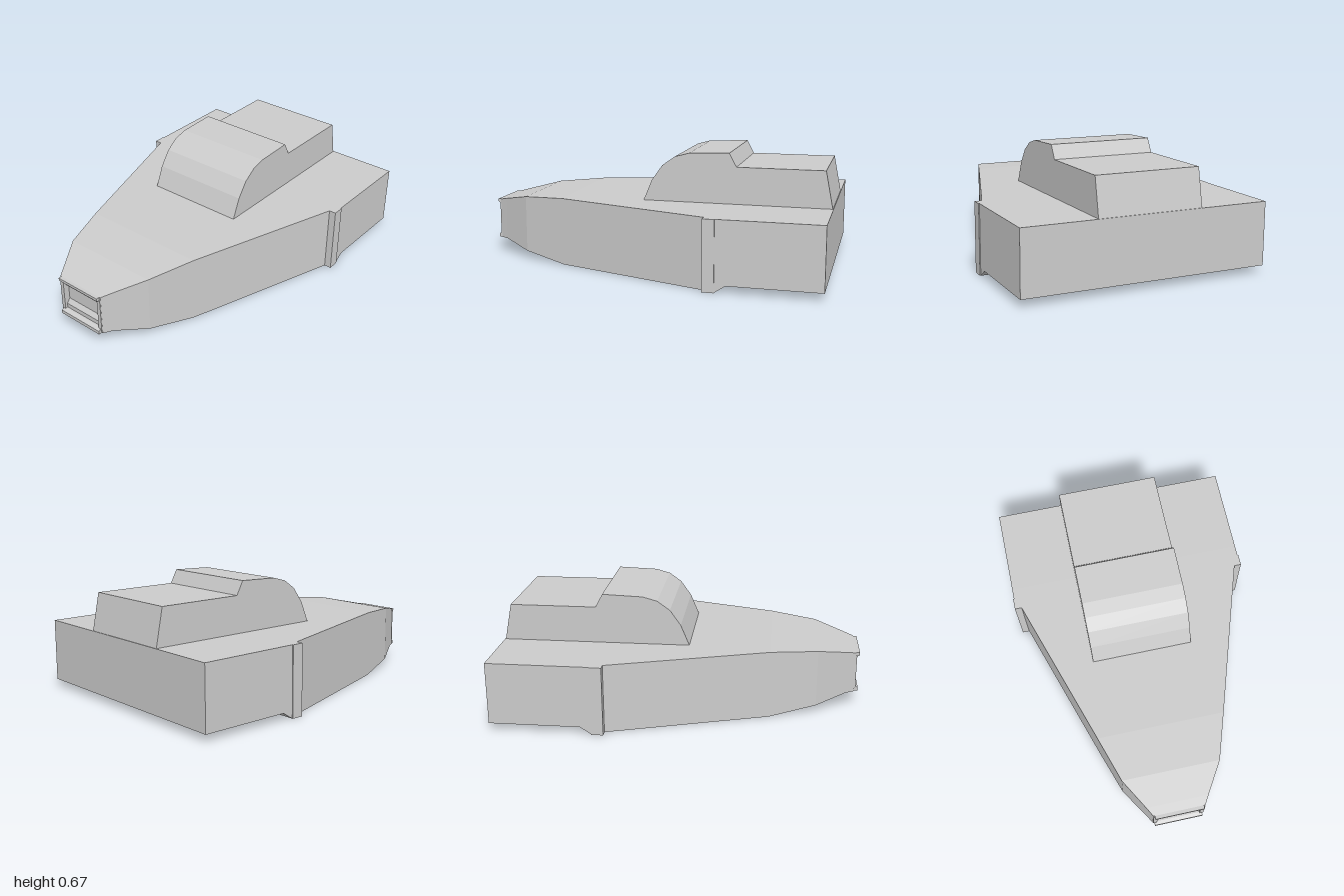
import * as THREE from 'three';

const grey = new THREE.MeshStandardMaterial({ color: 0xcccccc, flatShading: true });

// Rectangular sections [z, halfWidth, bottom, top], listed from back to front.
function loft(sections) {
  const rings = sections.map(([z, w, b, t]) => [[-w, b, z], [w, b, z], [w, t, z], [-w, t, z]]);
  const pos = [];
  const quad = (a, b, c, d) => pos.push(...a, ...b, ...c, ...a, ...c, ...d);
  const first = rings[0], last = rings[rings.length - 1];
  quad(first[3], first[2], first[1], first[0]);
  for (let s = 0; s < rings.length - 1; s++) {
    for (let i = 0; i < 4; i++) {
      const j = (i + 1) % 4;
      quad(rings[s][i], rings[s][j], rings[s + 1][j], rings[s + 1][i]);
    }
  }
  quad(last[0], last[1], last[2], last[3]);
  const geo = new THREE.BufferGeometry();
  geo.setAttribute('position', new THREE.Float32BufferAttribute(pos, 3));
  geo.computeVertexNormals();
  return geo;
}

// Side profile of [z, y] points, extruded across x from x0 to x1.
function sideProfile(points, x0, x1) {
  const shape = new THREE.Shape(points.map(([z, y]) => new THREE.Vector2(z, y)));
  const geo = new THREE.ExtrudeGeometry(shape, { depth: x1 - x0, bevelEnabled: false });
  return geo.rotateY(-Math.PI / 2).translate(x1, 0, 0);
}

export function createModel() {
  const model = new THREE.Group();
  model.name = 'armouredHull';
  const add = (name, geometry) => {
    const mesh = new THREE.Mesh(geometry, grey);
    mesh.name = name;
    model.add(mesh);
    return mesh;
  };

  // Hull: wide stern, stepped shoulder, tapering bow with a recessed nose
  add('hull', loft([
    [-1, 0.685, 0.04, 0.385],
    [-0.5, 0.685, 0.04, 0.385],
    [-0.44, 0.685, 0, 0.385],
    [-0.44, 0.69, 0, 0.385],
    [-0.375, 0.69, 0, 0.385],
    [-0.375, 0.65, 0, 0.385],
    [0.5, 0.365, 0.002, 0.385],
    [0.76, 0.28, 0.045, 0.368],
    [0.93, 0.177, 0.085, 0.33],
    [0.98, 0.148, 0.085, 0.318],
    [0.98, 0.125, 0.105, 0.3],
    [0.94, 0.125, 0.105, 0.3],
  ]));

  // Raised cabin with a rounded front and a lower rear deck
  add('cabin', sideProfile([
    [0.05, 0.38], [0, 0.5], [-0.06, 0.585], [-0.13, 0.635], [-0.21, 0.657],
    [-0.435, 0.665], [-0.475, 0.59], [-0.955, 0.59], [-0.997, 0.38],
  ].reverse(), -0.3, 0.28));

  // Stepped panel inside the nose recess
  add('nosePanel', sideProfile([
    [0.93, 0.105], [0.97, 0.105], [0.97, 0.14], [0.95, 0.165],
    [0.95, 0.245], [0.97, 0.265], [0.97, 0.3], [0.93, 0.3],
  ], -0.125, 0.125));

  // Lips above and below the recess
  add('upperLip', sideProfile([[0.97, 0.29], [0.98, 0.29], [1, 0.302], [1, 0.318], [0.97, 0.318]], -0.14, 0.14));
  add('lowerLip', sideProfile([[0.97, 0.085], [1, 0.085], [1, 0.105], [0.98, 0.115], [0.97, 0.115]], -0.14, 0.14));

  // Posts either side of the recess
  for (const side of [-1, 1]) {
    const post = add(side > 0 ? 'leftPost' : 'rightPost', new THREE.BoxGeometry(0.022, 0.195, 0.03));
    post.position.set(side * 0.136, 0.2025, 0.97);
  }
  return model;
}
